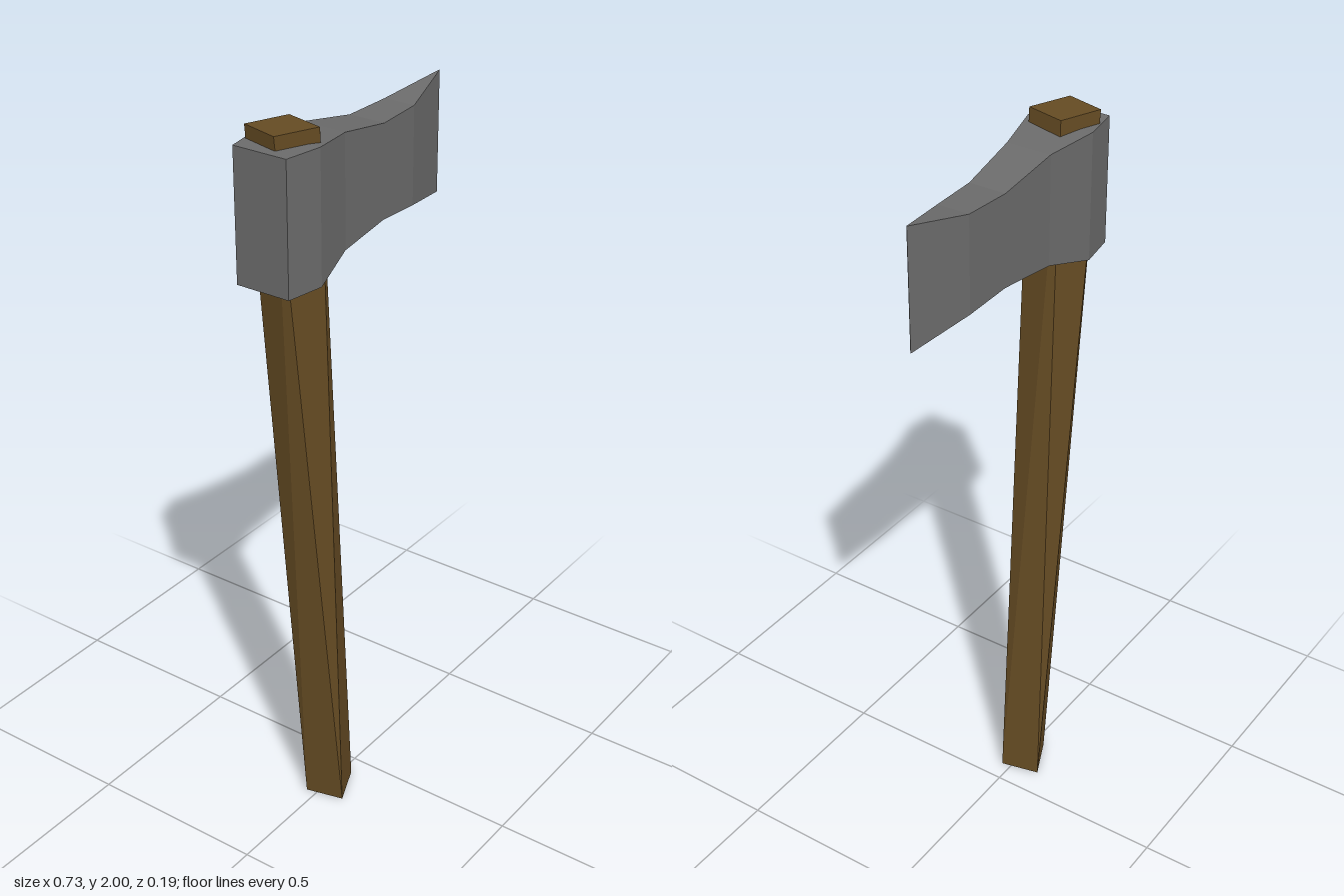
import * as THREE from 'three';

// Skin a row of four-cornered sections (corners counter-clockwise seen from the last section) and cap both ends.
function loft(rings) {
  const pos = [];
  const tri = (a, b, c) => pos.push(...a, ...b, ...c);
  for (let s = 0; s < rings.length - 1; s++) {
    const a = rings[s], b = rings[s + 1];
    for (let i = 0; i < 4; i++) {
      const j = (i + 1) % 4;
      tri(a[i], a[j], b[j]);
      tri(a[i], b[j], b[i]);
    }
  }
  const f = rings[0], l = rings[rings.length - 1];
  tri(f[0], f[2], f[1]);
  tri(f[0], f[3], f[2]);
  tri(l[0], l[1], l[2]);
  tri(l[0], l[2], l[3]);
  const geo = new THREE.BufferGeometry();
  geo.setAttribute('position', new THREE.Float32BufferAttribute(pos, 3));
  geo.computeVertexNormals();
  return geo;
}

export function createModel() {
  const group = new THREE.Group();
  const steel = new THREE.MeshStandardMaterial({ name: 'steel grey', color: 0x6b6b6b });
  const wood = new THREE.MeshStandardMaterial({ name: 'wood brown', color: 0x654b23 });

  // Handle: square shaft, leaning and twisting from bottom to top
  const at = (y, pts) => pts.map(([x, z]) => [x, y, z]);
  const handle = new THREE.Mesh(loft([
    at(0, [[-0.055, 0.027], [-0.08, -0.08], [-0.19, -0.03], [-0.164, 0.074]]),
    at(2, [[-0.235, 0.072], [-0.209, -0.035], [-0.318, -0.08], [-0.345, 0.025]]),
  ]), wood);
  handle.name = 'handle';
  group.add(handle);

  // Axe head: x, half thickness, bottom, top, from the butt to the cutting edge
  const sections = [
    [-0.367, 0.076, 1.62, 1.965],
    [-0.262, 0.093, 1.62, 1.965],
    [-0.125, 0.062, 1.656, 1.952],
    [0.05, 0.051, 1.672, 1.92],
    [0.187, 0.044, 1.662, 1.923],
    [0.364, 0.0005, 1.63, 1.956],
  ];
  const head = new THREE.Mesh(loft(sections.map(([x, w, lo, hi]) =>
    [[x, lo, w], [x, lo, -w], [x, hi, -w], [x, hi, w]])), steel);
  head.name = 'axeHead';
  group.add(head);

  return group;
}
